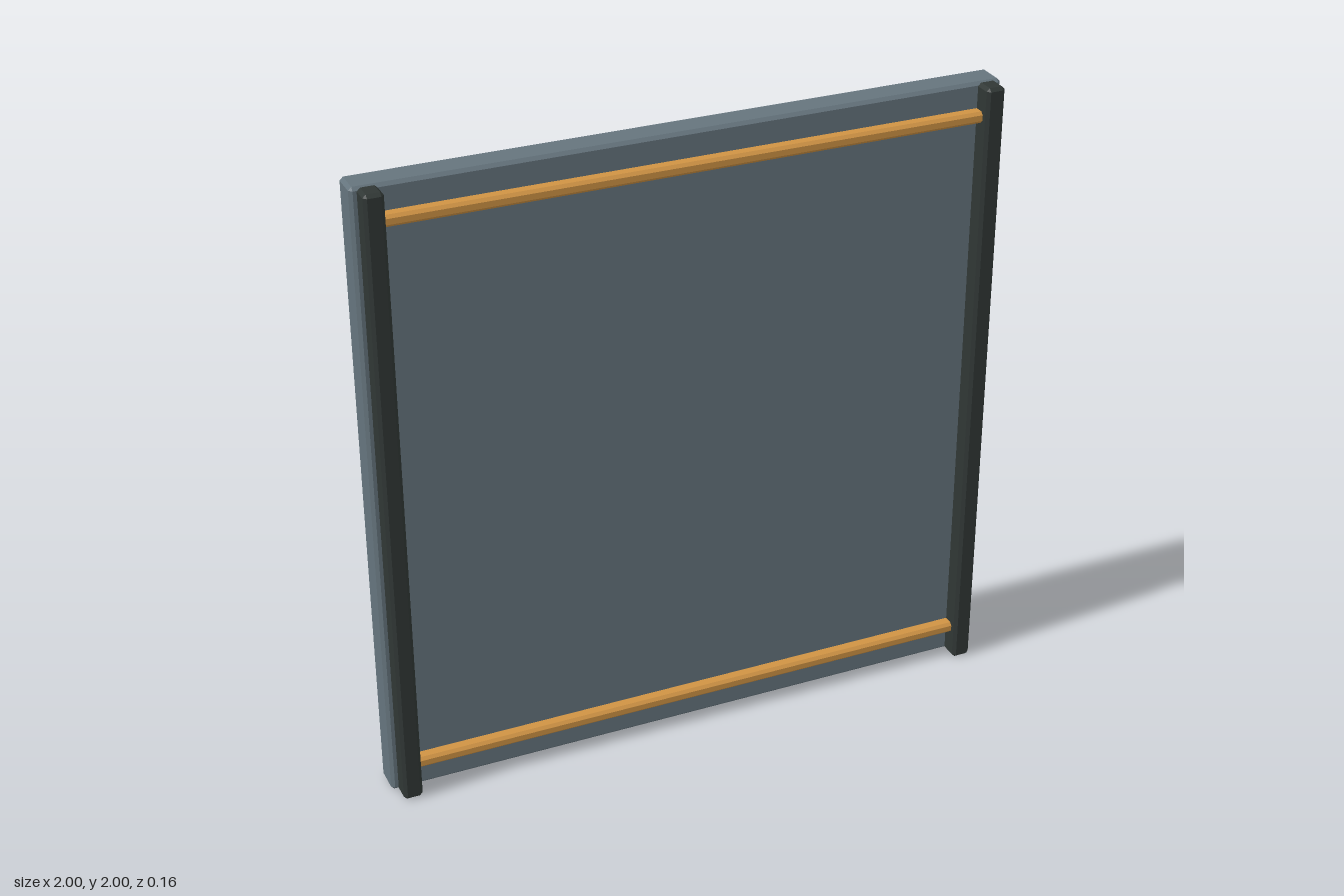
import * as THREE from 'three';
import { ConvexGeometry } from 'three/addons/geometries/ConvexGeometry.js';

// Box with every edge chamfered by c, given by its min and max corners
function chamferBox(min, max, c) {
  const h = min.map((v, i) => (max[i] - v) / 2);
  const points = [];
  for (const sx of [-1, 1]) for (const sy of [-1, 1]) for (const sz of [-1, 1]) {
    for (let axis = 0; axis < 3; axis++) {
      const p = [sx, sy, sz].map((s, i) => s * (h[i] - (i === axis ? 0 : c)));
      points.push(new THREE.Vector3(...p));
    }
  }
  return new ConvexGeometry(points).translate(min[0] + h[0], min[1] + h[1], min[2] + h[2]);
}

export function createModel() {
  const group = new THREE.Group();
  const material = (name, color) => {
    const m = new THREE.MeshStandardMaterial({ color });
    m.name = name;
    return m;
  };
  const slate = material('slate', 0x65747d);
  const charcoal = material('charcoal', 0x303735);
  const amber = material('amber', 0xcf9344);

  const add = (name, min, max, c, mat) => {
    const mesh = new THREE.Mesh(chamferBox(min, max, c), mat);
    mesh.name = name;
    group.add(mesh);
  };

  // Main slab
  add('panel', [-1, 0, -0.08], [1, 2, 0.016], 0.01, slate);

  // Upright posts along both front edges
  add('leftPost', [0.92, 0, 0.01], [0.98, 2, 0.08], 0.01, charcoal);
  add('rightPost', [-0.98, 0, 0.01], [-0.92, 2, 0.08], 0.01, charcoal);

  // Horizontal rails between the posts
  for (const [name, y] of [['topRail', 1.903], ['bottomRail', 0.105]]) {
    add(name, [-0.93, y - 0.018, 0.01], [0.93, y + 0.018, 0.056], 0.009, amber);
  }
  return group;
}
